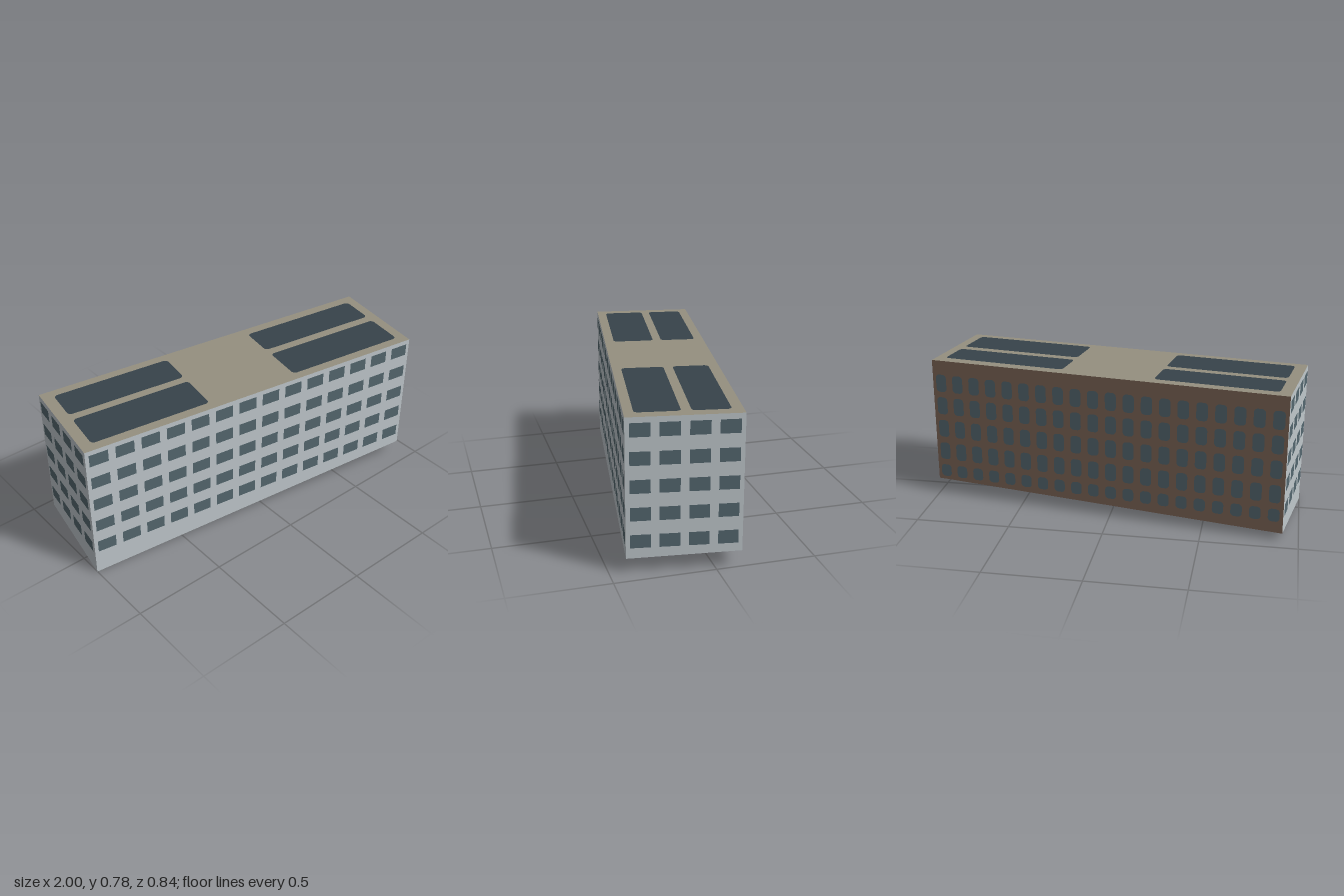
import * as THREE from 'three';

const LENGTH = 1.94, DEPTH = 0.552, TOP = 0.775, PROUD = 0.002;

const paint = (name, color) => {
  const m = new THREE.MeshStandardMaterial({ color });
  m.name = name;
  return m;
};

// Rectangle outline with optional rounded corners, centred on (cx, cy)
function panelShape(cx, cy, w, h, r = 0) {
  const s = new THREE.Shape(), x = w / 2, y = h / 2;
  if (!r) {
    return s.setFromPoints([[-x, -y], [x, -y], [x, y], [-x, y]]
      .map(([a, b]) => new THREE.Vector2(cx + a, cy + b)));
  }
  s.absarc(cx + x - r, cy + y - r, r, 0, Math.PI / 2);
  s.absarc(cx - x + r, cy + y - r, r, Math.PI / 2, Math.PI);
  s.absarc(cx - x + r, cy - y + r, r, Math.PI, Math.PI * 1.5);
  s.absarc(cx + x - r, cy - y + r, r, Math.PI * 1.5, Math.PI * 2);
  return s;
}

// Grid of windows: rows are [centre height, window height]
function windowGrid(name, material, wallWidth, columns, width, rows, radius) {
  const shapes = [], cell = wallWidth / columns;
  for (const [y, h] of rows) {
    for (let i = 0; i < columns; i++) {
      shapes.push(panelShape((i + 0.5) * cell - wallWidth / 2, y, width, h, radius));
    }
  }
  const mesh = new THREE.Mesh(new THREE.ShapeGeometry(shapes, 3), material);
  mesh.name = name;
  return mesh;
}

// Block whose underside follows sloping ground
function blockGeometry() {
  const box = new THREE.BoxGeometry(LENGTH, TOP, DEPTH).translate(0, TOP / 2, 0);
  const p = box.attributes.position;
  for (let i = 0; i < p.count; i++) {
    if (p.getY(i) > 0.1) continue;
    const right = p.getX(i) > 0, front = p.getZ(i) > 0;
    p.setY(i, right ? (front ? 0.073 : 0.084) : (front ? 0 : 0.04));
  }
  // underside folds from front left to back right
  [12, 14, 15, 12, 15, 13].forEach((v, k) => box.index.setX(18 + k, v));
  const flat = box.toNonIndexed();
  flat.computeVertexNormals();
  return flat;
}

export function createModel() {
  const model = new THREE.Group();
  model.name = 'officeBlock';
  const wall = paint('pale grey wall', 0xc0c8cc);
  const brick = paint('brown rear wall', 0x7d6556);
  const roof = paint('roof stone', 0x959080);
  const glass = paint('window glass', 0x54676f);
  const dark = paint('dark roof panel', 0x37434b);

  // Everything is built square, then turned on its plot
  const building = new THREE.Group();
  building.name = 'building';
  building.rotation.y = -0.1526;
  model.add(building);

  const block = new THREE.Mesh(blockGeometry(), [wall, wall, roof, wall, wall, brick]);
  block.name = 'block';
  building.add(block);

  const rows = (first, step, h) => [0, 1, 2, 3, 4].map(i => [first + i * step, h]);

  // Front windows
  const front = windowGrid('frontWindows', glass, LENGTH, 14, 0.1, rows(0.168, 0.1373, 0.068), 0);
  front.position.z = DEPTH / 2 + PROUD;
  building.add(front);

  // End windows, both sides
  for (const side of [1, -1]) {
    const end = windowGrid(side > 0 ? 'leftWindows' : 'rightWindows', glass,
      DEPTH, 4, 0.097, rows(0.161, 0.1382, 0.068), 0);
    end.rotation.y = side * Math.PI / 2;
    end.position.x = side * (LENGTH / 2 + PROUD);
    building.add(end);
  }

  // Rounded rear windows, lowest row shorter
  const rearRows = [[0.137, 0.07], [0.254, 0.098], [0.387, 0.098], [0.519, 0.098], [0.648, 0.098]];
  const rear = windowGrid('rearWindows', glass, LENGTH, 20, 0.06, rearRows, 0.02);
  rear.rotation.y = Math.PI;
  rear.position.z = -DEPTH / 2 - PROUD;
  building.add(rear);

  // Roof panels: x range, z range
  const panels = [
    [-0.91, -0.265, -0.226, -0.038], [-0.91, -0.265, 0.007, 0.227],
    [0.238, 0.916, -0.221, -0.036], [0.24, 0.915, 0.012, 0.229],
  ].map(([x0, x1, z0, z1]) =>
    panelShape((x0 + x1) / 2, -(z0 + z1) / 2, x1 - x0, z1 - z0, 0.022));
  const roofPanels = new THREE.Mesh(new THREE.ShapeGeometry(panels, 4), dark);
  roofPanels.name = 'roofPanels';
  roofPanels.rotation.x = -Math.PI / 2;
  roofPanels.position.y = TOP + PROUD;
  building.add(roofPanels);

  return model;
}
